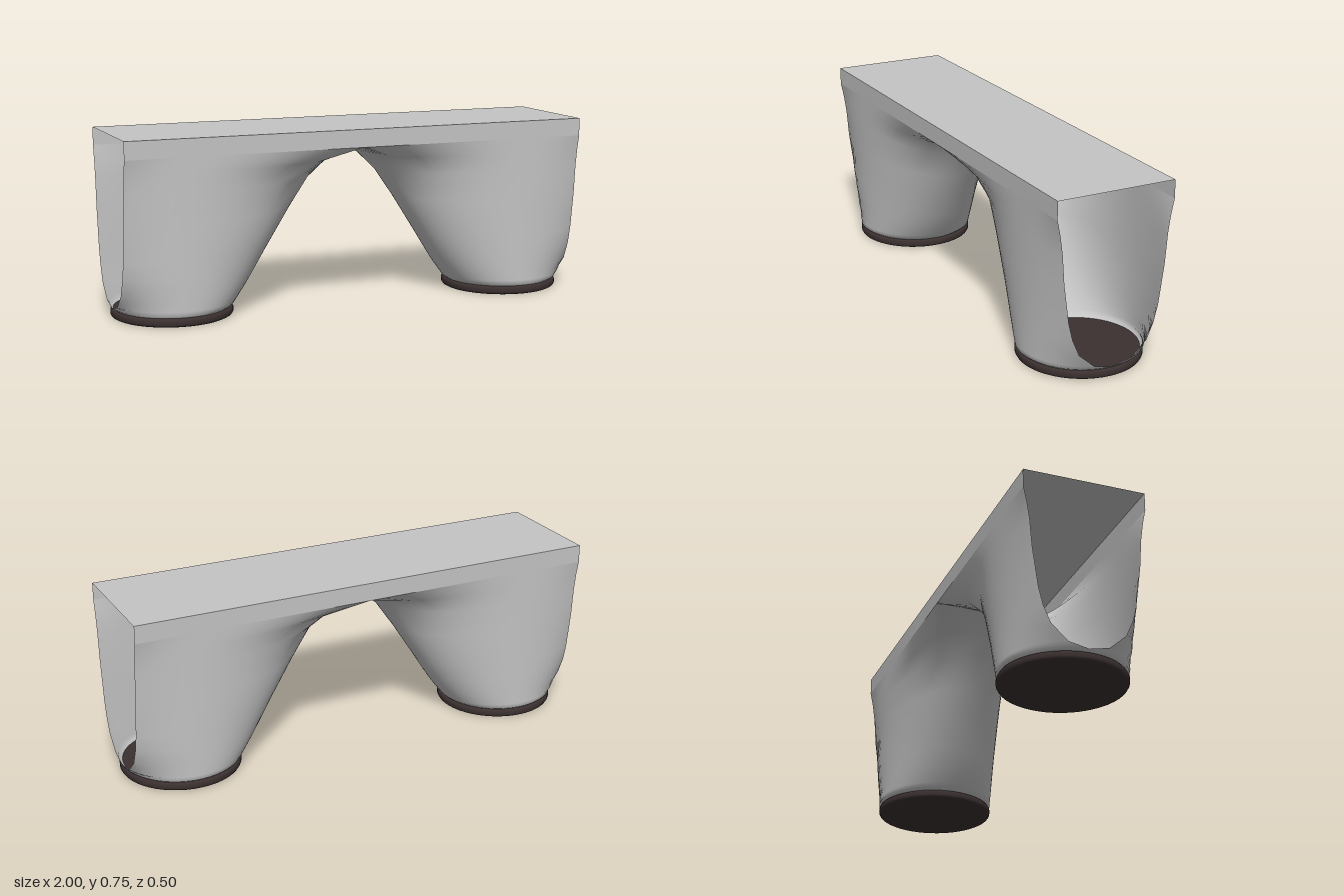
import * as THREE from 'three';

const DECK_Y = 0.75, RIM_Y = 0.676, HALF_Z = 0.25, LEG_X = 0.75, FOOT_Y = 0.036;

// Leg sections: height, half length in x, half width in z, blend from ellipse to rectangle
const SECTIONS = [
  [FOOT_Y, 0.238, 0.238, 0], [0.045, 0.25, 0.25, 0], [0.062, 0.264, 0.25, 0],
  [0.122, 0.31, 0.25, 0], [0.19, 0.355, 0.25, 0], [0.26, 0.4, 0.25, 0],
  [0.42, 0.505, 0.25, 0], [0.54, 0.59, 0.25, 0], [0.615, 0.665, 0.25, 0.3],
  [RIM_Y, 0.75, 0.25, 1],
];

// Funnel-shaped shell, cut off flat at x = 1 so its outer end is open
function legGeometry(segments = 48) {
  const positions = [], index = [];
  for (const [y, a, b, blend] of SECTIONS) {
    const start = Math.acos(Math.min(1, 0.25 / a));
    for (let i = 0; i <= segments; i++) {
      const t = start + (2 * Math.PI - 2 * start) * i / segments;
      const c = Math.cos(t), s = Math.sin(t);
      const squareC = c < 0 ? Math.max(-1, 1.236 * c) : c;
      const squareS = THREE.MathUtils.clamp(1.7 * s, -1, 1);
      positions.push(
        LEG_X + a * THREE.MathUtils.lerp(c, squareC, blend),
        y,
        b * THREE.MathUtils.lerp(s, squareS, blend));
    }
  }
  const row = segments + 1;
  for (let j = 0; j < SECTIONS.length - 1; j++) {
    for (let i = 0; i < segments; i++) {
      const p = j * row + i, up = p + row;
      index.push(p, up, p + 1, p + 1, up, up + 1);
    }
  }
  const geometry = new THREE.BufferGeometry();
  geometry.setAttribute('position', new THREE.Float32BufferAttribute(positions, 3));
  geometry.setIndex(index);
  geometry.computeVertexNormals();
  return geometry;
}

export function createModel() {
  const shell = new THREE.MeshStandardMaterial({ name: 'paleGrey', color: 0xc4c4c4, side: THREE.DoubleSide });
  const pad = new THREE.MeshStandardMaterial({ name: 'darkBrown', color: 0x3b3030 });

  const model = new THREE.Group();
  model.name = 'archedBench';

  const add = (parent, name, geometry, material) => {
    const mesh = new THREE.Mesh(geometry, material);
    mesh.name = name;
    parent.add(mesh);
    return mesh;
  };

  // Flat top sheet
  const top = add(model, 'top', new THREE.PlaneGeometry(2, 2 * HALF_Z), shell);
  top.rotation.x = -Math.PI / 2;
  top.position.y = DECK_Y;

  // Front and back aprons; the ends stay open
  for (const side of [1, -1]) {
    const apron = add(model, side > 0 ? 'frontApron' : 'backApron',
      new THREE.PlaneGeometry(2, DECK_Y - RIM_Y), shell);
    apron.position.set(0, (DECK_Y + RIM_Y) / 2, side * HALF_Z);
    if (side < 0) apron.rotation.y = Math.PI;
  }

  const legShape = legGeometry();
  const padProfile = [[0.238, 0], [0.246, 0.004], [0.25, 0.011], [0.25, 0.025], [0.246, 0.032], [0.238, FOOT_Y]]
    .map(([r, y]) => new THREE.Vector2(r, y));
  const padRim = new THREE.LatheGeometry(padProfile, 48);
  const padCap = new THREE.CircleGeometry(0.238, 48);

  // The right half is the left half turned around
  for (const side of [1, -1]) {
    const half = new THREE.Group();
    half.name = side > 0 ? 'leftLeg' : 'rightLeg';
    if (side < 0) half.rotation.y = Math.PI;
    add(half, 'legShell', legShape, shell);

    // Round foot pad with softened edges
    const foot = new THREE.Group();
    foot.name = 'footPad';
    foot.position.x = LEG_X;
    add(foot, 'padRim', padRim, pad);
    const upper = add(foot, 'padTop', padCap, pad);
    upper.rotation.x = -Math.PI / 2;
    upper.position.y = FOOT_Y;
    add(foot, 'padBase', padCap, pad).rotation.x = Math.PI / 2;
    half.add(foot);
    model.add(half);
  }
  return model;
}
